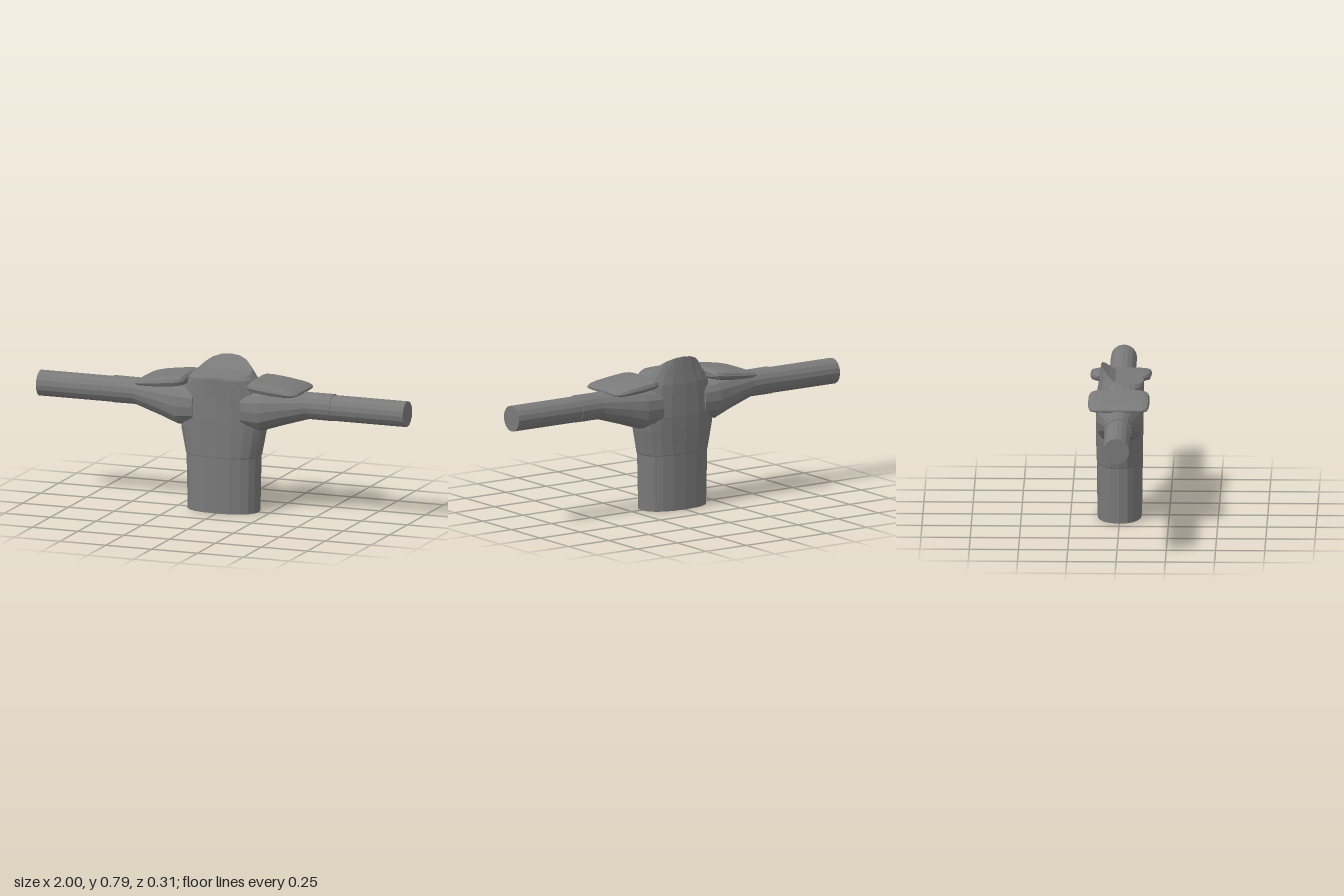
import * as THREE from 'three';

const material = new THREE.MeshStandardMaterial({ color: 0x7a7a7a, flatShading: true });

// Rounded-off power: below 1 squares an ellipse up.
const soft = (v, e) => Math.sign(v) * Math.pow(Math.abs(v), e);

// Closed faceted skin over rings of points that run clockwise about the loft axis.
function loft(rings) {
  const pos = [];
  const tri = (...pts) => pts.forEach((p) => pos.push(p.x, p.y, p.z));
  const n = rings[0].length;
  for (let k = 0; k < rings.length - 1; k++) {
    const p = rings[k], q = rings[k + 1];
    for (let i = 0; i < n; i++) {
      const j = (i + 1) % n;
      tri(p[i], q[i], p[j]);
      tri(p[j], q[i], q[j]);
    }
  }
  // End caps as strips between mirrored points, so a cap may bend.
  const first = rings[0], last = rings[rings.length - 1];
  for (let i = 0; i < n / 2; i++) {
    const a = i, b = i + 1, c = n - i - 1, d = (n - i) % n;
    tri(first[a], first[b], first[c]);
    tri(first[a], first[c], first[d]);
    tri(last[a], last[c], last[b]);
    tri(last[a], last[d], last[c]);
  }
  const geometry = new THREE.BufferGeometry();
  geometry.setAttribute('position', new THREE.Float32BufferAttribute(pos, 3));
  geometry.computeVertexNormals();
  return geometry;
}

// Horizontal ring for the torso; index 0 faces the front.
function torsoRing(y, rx, rz, zc = 0, e = 0.85, n = 20) {
  return Array.from({ length: n }, (_, i) => {
    const a = (i / n) * Math.PI * 2;
    return new THREE.Vector3(-rx * soft(Math.sin(a), e), y, zc + rz * soft(Math.cos(a), e));
  });
}

// Upright ring across the x axis for arms and pads.
function sideRing(x, y0, y1, rz, e, n) {
  return Array.from({ length: n }, (_, i) => {
    const a = (i / n) * Math.PI * 2;
    return new THREE.Vector3(x, (y0 + y1) / 2 + ((y1 - y0) / 2) * soft(Math.sin(a), e), rz * soft(Math.cos(a), e));
  });
}

function mesh(name, geometry) {
  const m = new THREE.Mesh(geometry, material);
  m.name = name;
  return m;
}

export function createModel() {
  const model = new THREE.Group();
  model.name = 'upperBody';

  // Torso with a small hem step at the waist
  const torso = [
    [0, 0.19, 0.113, -0.001], [0.288, 0.196, 0.117, -0.001], [0.292, 0.199, 0.118, -0.001],
    [0.42, 0.225, 0.12, -0.002], [0.49, 0.23, 0.121, -0.002], [0.6, 0.215, 0.119, 0.001],
    [0.655, 0.197, 0.118, 0.003], [0.693, 0.178, 0.115, 0.007],
  ].map((s) => torsoRing(...s));

  // Neck opening: nearly level in front, collar standing up at the back
  const rim = torsoRing(0, 0.152, 0.108, 0.013, 0.95);
  rim.forEach((p) => {
    p.y = p.z > -0.03 ? 0.705 + (0.12 - p.z) * 0.133 : 0.725 + (-0.03 - p.z) * 1.0;
  });
  model.add(mesh('torso', loft([...torso, rim])));

  for (const side of [1, -1]) {
    const half = new THREE.Group();
    half.name = side > 0 ? 'leftSide' : 'rightSide';

    // Sleeve, broad and blunt at the chest, narrowing to the elbow
    half.add(mesh('sleeve', loft([
      [0.13, 0.452, 0.63, 0.117, 0.7], [0.225, 0.43, 0.648, 0.118, 0.8],
      [0.33, 0.465, 0.648, 0.098, 0.9], [0.47, 0.508, 0.646, 0.072, 1], [0.6, 0.507, 0.647, 0.07, 1],
    ].map((s) => sideRing(...s, 16)))));

    // Forearm
    half.add(mesh('forearm', loft([0.58, 1].map((x) => sideRing(x, 0.509, 0.642, 0.0665, 1, 16)))));

    // Shoulder pad, a thin rounded plate sloping outwards
    half.add(mesh('shoulderPad', loft([
      [0.172, 0.66, 0.686, 0.125], [0.186, 0.648, 0.7, 0.143], [0.215, 0.642, 0.7, 0.154],
      [0.29, 0.633, 0.692, 0.156], [0.37, 0.631, 0.679, 0.155], [0.41, 0.633, 0.668, 0.15],
      [0.43, 0.637, 0.66, 0.138], [0.441, 0.642, 0.654, 0.115],
    ].map((s) => sideRing(...s, 0.6, 16)))));

    if (side < 0) half.rotation.y = Math.PI;
    model.add(half);
  }
  return model;
}
